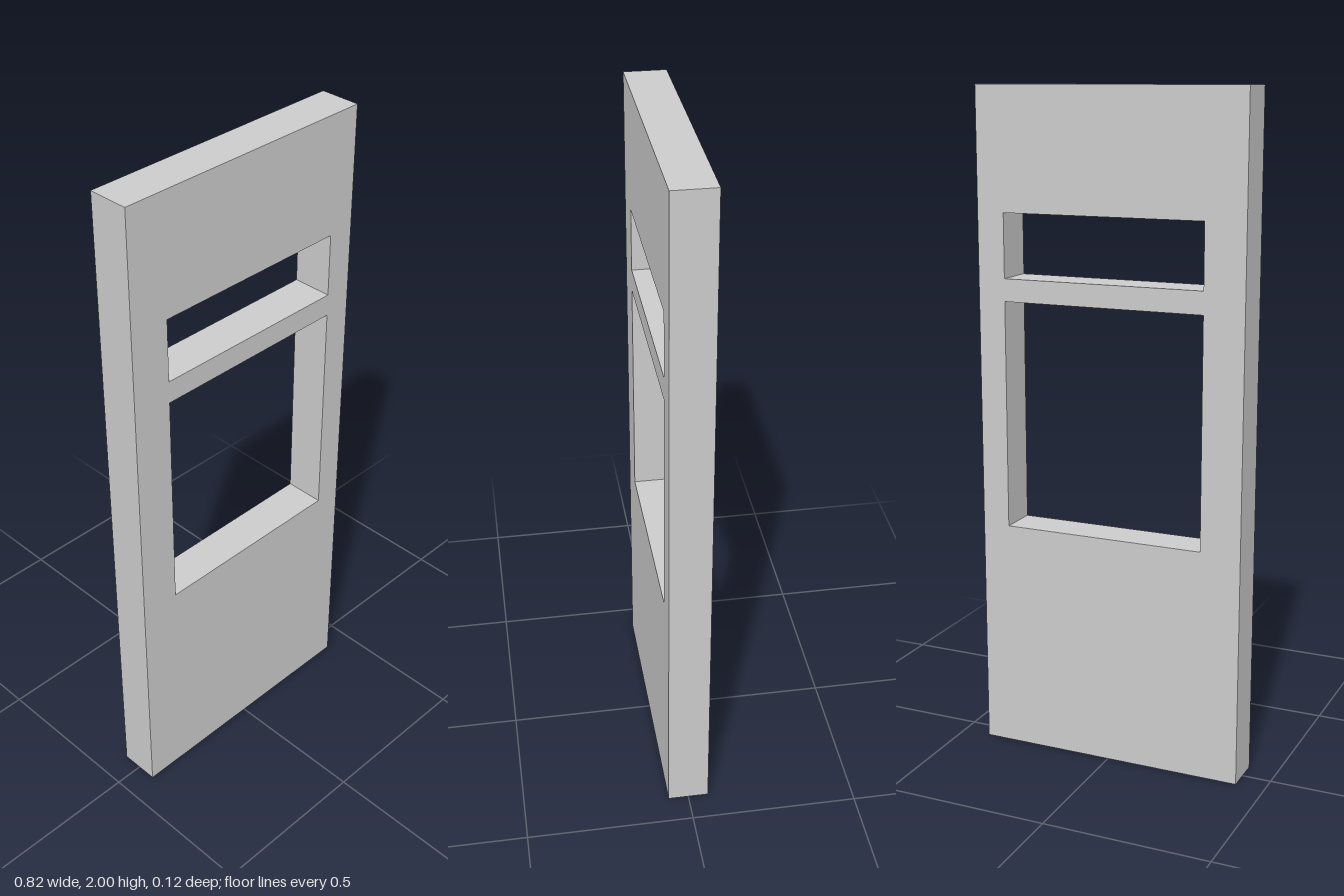
import * as THREE from 'three';

const WIDTH = 0.824, HEIGHT = 2, DEPTH = 0.122;

// Traces a rectangle onto a Shape or Path
function rect(path, x0, y0, x1, y1) {
  path.moveTo(x0, y0);
  path.lineTo(x1, y0);
  path.lineTo(x1, y1);
  path.lineTo(x0, y1);
  path.closePath();
  return path;
}

export function createModel() {
  const group = new THREE.Group();
  group.name = 'wallPanel';

  // Slab outline
  const outline = rect(new THREE.Shape(), -WIDTH / 2, 0, WIDTH / 2, HEIGHT);

  // Main window and the transom above it, slightly off centre: [bottom, top]
  for (const [bottom, top] of [[0.7, 1.383], [1.45, 1.64]]) {
    outline.holes.push(rect(new THREE.Path(), -0.29, bottom, 0.328, top));
  }

  const geometry = new THREE.ExtrudeGeometry(outline, { depth: DEPTH, bevelEnabled: false });
  geometry.translate(0, 0, -DEPTH / 2);

  const panel = new THREE.Mesh(
    geometry,
    new THREE.MeshStandardMaterial({ color: 0xcccccc, flatShading: true })
  );
  panel.name = 'panelWithWindows';
  group.add(panel);
  return group;
}
